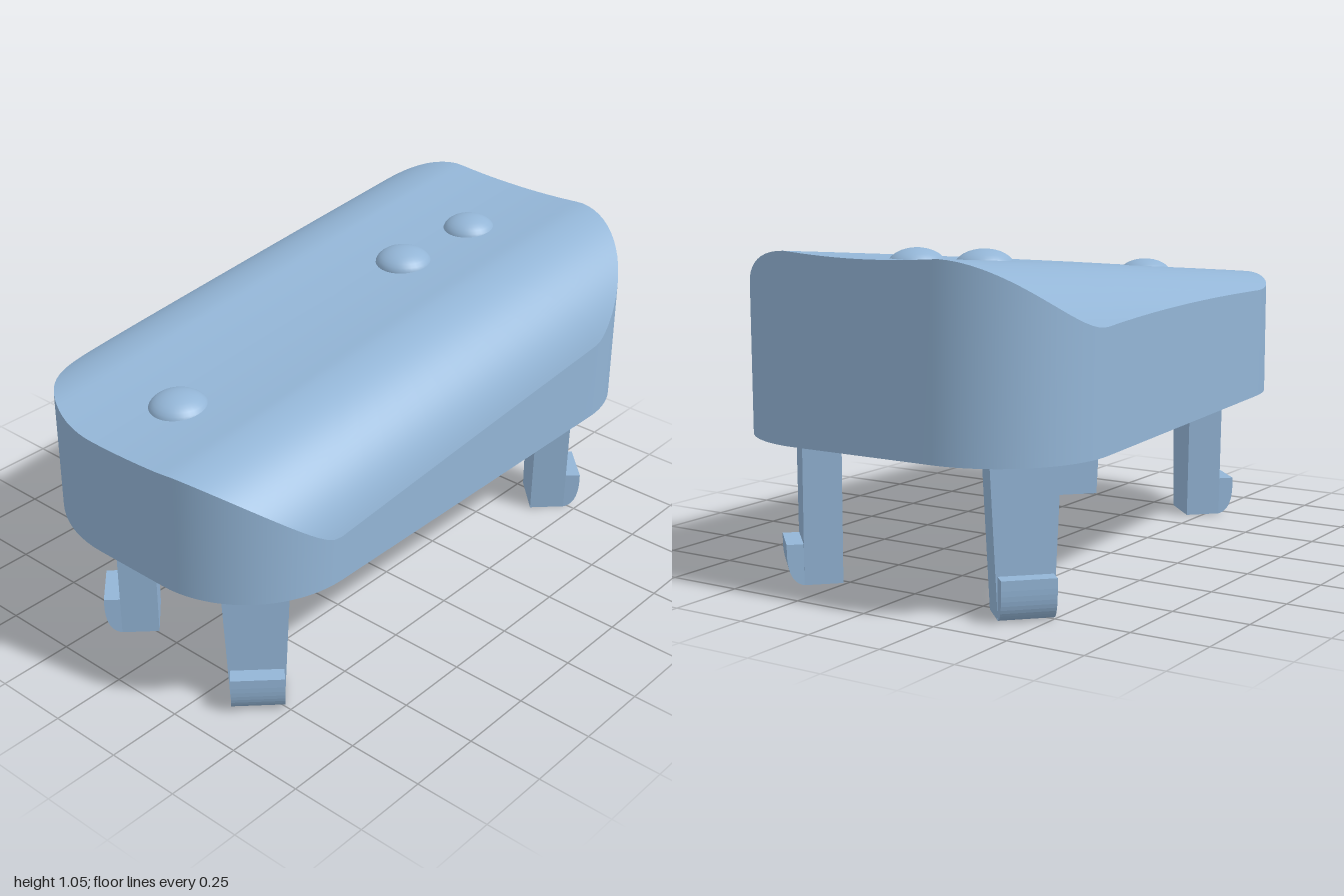
import * as THREE from 'three';

const RIM_Y = 0.467;      // underside of the shell
const WALL = 0.09;        // shell wall thickness
const ROOF = 0.08;        // shell top thickness

// Rounded corners of the plan: centre x, centre z, radius, start and end angle
const CORNERS = [
  [0.65, 0.25, 0.35, 0, 90],
  [-0.63, 0.23, 0.37, 90, 180],
  [-0.55, -0.04, 0.45, 180, 264.8],
  [0.65, -0.25, 0.35, 264.8, 360],
];

// Closed plan outline, moved inward by inset
function outline(inset) {
  const pts = [];
  const arc = 20, edge = 12;
  CORNERS.forEach(([cx, cz, r, a0, a1], k) => {
    const at = (c, deg) => {
      const a = THREE.MathUtils.degToRad(deg);
      return new THREE.Vector2(c[0] + Math.cos(a) * (c[2] - inset), c[1] + Math.sin(a) * (c[2] - inset));
    };
    for (let i = 0; i <= arc; i++) pts.push(at([cx, cz, r], a0 + (a1 - a0) * i / arc));
    const next = CORNERS[(k + 1) % CORNERS.length];
    const from = pts[pts.length - 1], to = at(next, next[3]);
    for (let i = 1; i < edge; i++) pts.push(from.clone().lerp(to, i / edge));
  });
  return pts;
}

// Top surface: sloping along x, lightly dished, rolled over at front and back
function topY(x, z) {
  const a = Math.abs(z), r = z > 0 ? 0.335 : 0.4, flat = 0.27;
  const ridge = 0.953 + 0.0925 * x + 0.004 * (1 - x * x);
  if (a < flat) return ridge - 0.012 * (1 - (a / flat) ** 2);
  return ridge - r + Math.sqrt(Math.max(0, r * r - (a - flat) ** 2));
}

// Smooth surface over closed rings; point(i, v) gives the position
function loft(count, steps, point) {
  const pos = [], idx = [];
  for (let j = 0; j <= steps; j++)
    for (let i = 0; i < count; i++) pos.push(...point(i, j / steps));
  for (let j = 0; j < steps; j++)
    for (let i = 0; i < count; i++) {
      const n = (i + 1) % count, a = j * count + i, b = j * count + n;
      idx.push(a, b, b + count, a, b + count, a + count);
    }
  const g = new THREE.BufferGeometry();
  g.setAttribute('position', new THREE.Float32BufferAttribute(pos, 3));
  g.setIndex(idx);
  g.computeVertexNormals();
  return g;
}

export function createModel() {
  const model = new THREE.Group();
  model.name = 'clipOnCap';
  const blue = new THREE.MeshStandardMaterial({ color: 0x93b5d6 });
  blue.name = 'pale blue plastic';

  const add = (parent, name, geometry, x = 0, y = 0, z = 0) => {
    const m = new THREE.Mesh(geometry, blue);
    m.name = name;
    m.position.set(x, y, z);
    parent.add(m);
    return m;
  };

  // Hollow shell
  const outer = outline(0), inner = outline(WALL), n = outer.length;
  const disc = (pts, drop, radius) => loft(n, 32, (i, v) => {
    const t = radius(v), x = pts[i].x * t, z = pts[i].y * t;
    return [x, topY(x, z) - drop, z];
  });
  const wall = (pts, drop, share) => loft(n, 1, (i, v) => {
    const { x, y: z } = pts[i];
    return [x, THREE.MathUtils.lerp(RIM_Y, topY(x, z) - drop, share(v)), z];
  });
  const shell = new THREE.Group();
  shell.name = 'shell';
  model.add(shell);
  add(shell, 'topSurface', disc(outer, 0, v => 1 - (1 - v) ** 1.4));
  add(shell, 'outerWall', wall(outer, 0, v => 1 - v));
  add(shell, 'bottomRim', loft(n, 1, (i, v) => {
    const p = outer[i].clone().lerp(inner[i], v);
    return [p.x, RIM_Y, p.y];
  }));
  add(shell, 'innerWall', wall(inner, ROOF, v => v));
  add(shell, 'innerRoof', disc(inner, ROOF, v => 1 - v ** 1.4));

  // Raised dots on top: x, z, radius, peak height
  for (const [x, z, r, peak] of [[-0.71, 0.025, 0.095, 0.915], [0.345, 0.015, 0.095, 1.02], [0.66, 0.045, 0.09, 1.043]]) {
    const dot = add(model, 'raisedDot', new THREE.SphereGeometry(r, 32, 16), x, peak - 0.055, z);
    dot.scale.y = 0.055 / r;
  }

  // Post under the roof
  add(model, 'innerPost', new THREE.CylinderGeometry(0.215, 0.215, 0.32, 48), 0.05, 0.74, 0);

  // Snap legs: tapered plate, with a hook on the outer face
  const legTop = 0.75, legDepth = 0.12, footWidth = 0.165;
  const plate = new THREE.BoxGeometry(1, legTop, legDepth);
  plate.translate(0, legTop / 2, -legDepth / 2);
  const p = plate.attributes.position;
  for (let i = 0; i < p.count; i++) p.setX(i, p.getX(i) * (footWidth + 0.096 * p.getY(i)));
  plate.computeVertexNormals();

  const profile = new THREE.Shape();
  profile.moveTo(0, 0);
  profile.quadraticCurveTo(0.05, 0.01, 0.052, 0.1);
  profile.lineTo(0.052, 0.13);
  profile.lineTo(-0.01, 0.13);
  profile.lineTo(-0.01, 0);
  const hook = new THREE.ExtrudeGeometry(profile, { depth: footWidth, bevelEnabled: false, curveSegments: 10 });
  hook.rotateY(-Math.PI / 2);
  hook.translate(footWidth / 2, 0, 0);

  for (const [x, z] of [[0.795, 0.405], [-0.795, 0.405], [-0.77, -0.23], [0.795, -0.43]]) {
    const leg = new THREE.Group();
    leg.name = 'snapLeg';
    leg.position.set(x, 0, z);
    leg.rotation.y = Math.atan2(Math.sign(x), Math.sign(z));
    add(leg, 'legPlate', plate);
    add(leg, 'legHook', hook);
    model.add(leg);
  }
  return model;
}
